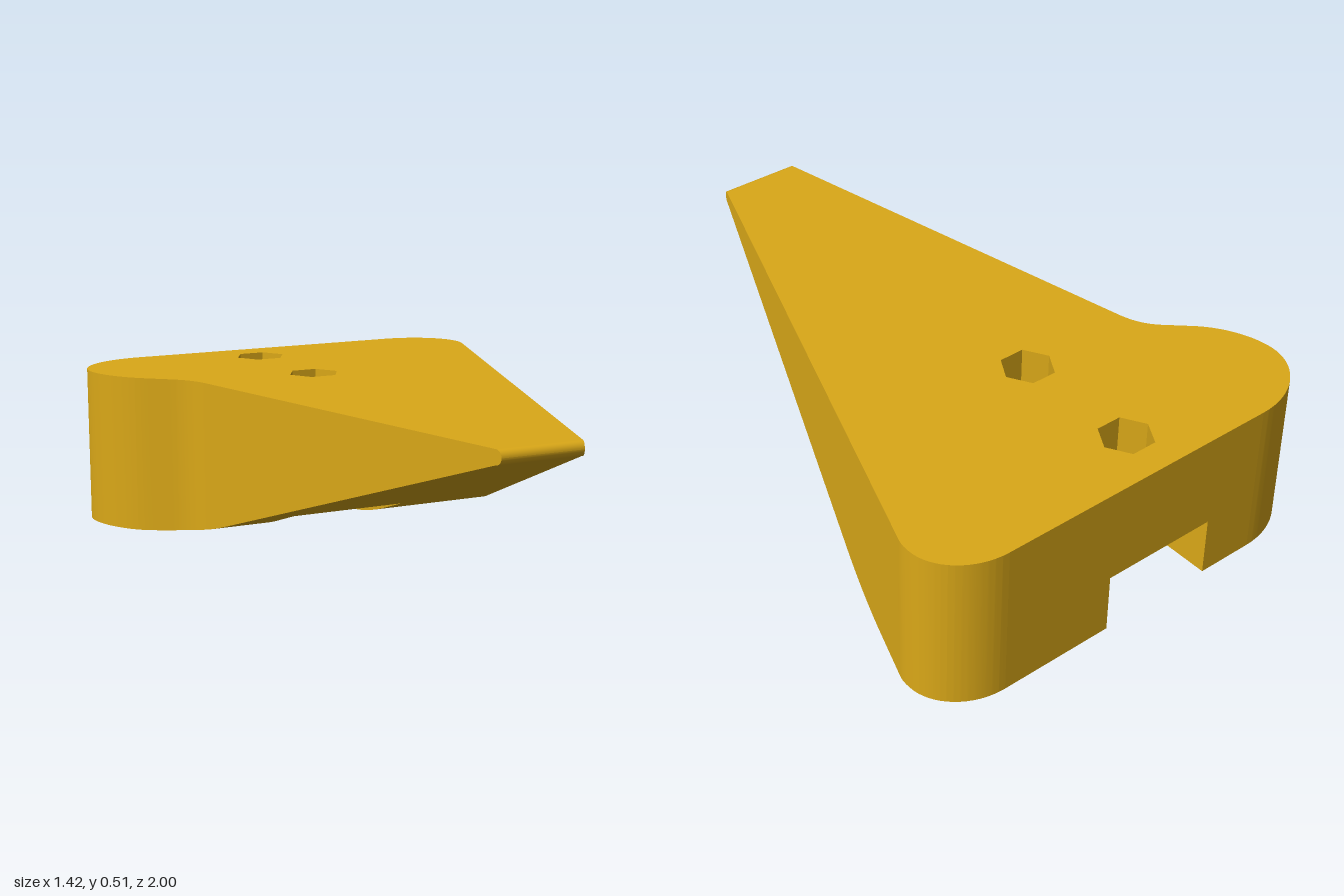
import * as THREE from 'three';

const TOP = 0.507, CEIL = 0.195;            // top face, slot ceiling
const SLOT = { x0: -0.27, x1: 0.12, end: -0.16 };
const NOSE = { z: 0.978, y: 0.485, r: 0.022 };
const HOLES = [-0.83, -0.405], HOLE_X = -0.077, NUT_R = 0.085, BOLT_R = 0.047, NUT_FLOOR = 0.385;

// Underside height: flat, blended into a ramp, then the rounded nose
function under(z) {
  if (z < -0.61) return 0;
  if (z < -0.29) return 0.324 * (z + 0.61) ** 2 / 0.64;
  if (z <= NOSE.z) return 0.146 + 0.324 * z;
  return NOSE.y - noseHalf(z);
}
const noseHalf = z => Math.sqrt(Math.max(0, NOSE.r ** 2 - (z - NOSE.z) ** 2));
const over = z => (z <= NOSE.z ? TOP : NOSE.y + noseHalf(z));

// Side outlines in (x, z), from back to nose
const left = new THREE.Path().moveTo(-0.46, -1)
  .bezierCurveTo(-0.6, -1, -0.714, -0.9, -0.714, -0.79)
  .bezierCurveTo(-0.714, -0.72, -0.68, -0.63, -0.61, -0.565)
  .lineTo(-0.55, -0.51)
  .bezierCurveTo(-0.51, -0.475, -0.485, -0.44, -0.472, -0.37)
  .lineTo(-0.209, 1).getPoints(16);
const right = new THREE.Path().moveTo(0.505, -1)
  .bezierCurveTo(0.62, -1, 0.71, -0.92, 0.71, -0.83)
  .bezierCurveTo(0.71, -0.81, 0.71, -0.795, 0.7, -0.77)
  .lineTo(0.055, 1).getPoints(16);

function xAt(pts, z) {
  let i = 1;
  while (i < pts.length - 1 && pts[i].y < z) i++;
  const a = pts[i - 1], b = pts[i];
  return a.x + (b.x - a.x) * (z - a.y) / (b.y - a.y);
}

// Strip between two point rows; front is (along the row) x (a to b)
function ribbon(rows, a, b) {
  const pos = [], idx = [];
  rows.forEach((z, i) => {
    pos.push(...a(z), z, ...b(z), z);
    const k = 2 * i;
    if (i < rows.length - 1) idx.push(k, k + 2, k + 1, k + 1, k + 2, k + 3);
  });
  const g = new THREE.BufferGeometry();
  g.setAttribute('position', new THREE.Float32BufferAttribute(pos, 3));
  g.setIndex(idx);
  g.computeVertexNormals();
  return g;
}

function ringPath(r, n, x, y) {
  const pts = [];
  for (let i = 0; i < n; i++) {
    const t = i / n * Math.PI * 2;
    pts.push(new THREE.Vector2(x + r * Math.cos(t), y + r * Math.sin(t)));
  }
  return pts;
}

export function createModel() {
  const model = new THREE.Group();
  model.name = 'taperedBracket';
  const color = 0xdaa818;
  const mat = new THREE.MeshStandardMaterial({ color });
  const inner = new THREE.MeshStandardMaterial({ color, side: THREE.BackSide });
  const innerFlat = new THREE.MeshStandardMaterial({ color, side: THREE.BackSide, flatShading: true });
  const add = (name, geo, m = mat) => {
    const mesh = new THREE.Mesh(geo, m);
    mesh.name = name;
    model.add(mesh);
    return mesh;
  };

  // Shared z rows through the outline, the underside blend and the nose
  const zs = [...left, ...right].map(p => p.y);
  for (let i = 0; i <= 16; i++) zs.push(-0.61 + 0.32 * i / 16);
  for (let i = 0; i <= 10; i++) zs.push(NOSE.z + NOSE.r * Math.sin(i / 10 * Math.PI / 2));
  zs.push(SLOT.end);
  const rows = zs.sort((a, b) => a - b).filter((z, i) => i === 0 || z - zs[i - 1] > 1e-6);
  const slotRows = rows.filter(z => z <= SLOT.end);
  const rampRows = rows.filter(z => z >= SLOT.end);
  const noseRows = rows.filter(z => z >= NOSE.z - 1e-9);
  const L = z => xAt(left, z), R = z => xAt(right, z);

  // Side walls
  add('leftWall', ribbon(rows, z => [R(z), over(z)], z => [R(z), under(z)]));
  add('rightWall', ribbon(rows, z => [L(z), under(z)], z => [L(z), over(z)]));

  // Underside: a rail on each side of the slot, then the full-width ramp
  add('leftRail', ribbon(slotRows, z => [R(z), under(z)], z => [SLOT.x1, under(z)]));
  add('rightRail', ribbon(slotRows, z => [SLOT.x0, under(z)], z => [L(z), under(z)]));
  add('ramp', ribbon(rampRows, z => [R(z), under(z)], z => [L(z), under(z)]));
  add('noseTop', ribbon(noseRows, z => [L(z), over(z)], z => [R(z), over(z)]));

  // Slot walls, end and ceiling
  add('slotRightWall', ribbon(slotRows, z => [SLOT.x0, CEIL], z => [SLOT.x0, under(z)]));
  add('slotLeftWall', ribbon(slotRows, z => [SLOT.x1, under(z)], z => [SLOT.x1, CEIL]));
  const endY = under(SLOT.end), midX = (SLOT.x0 + SLOT.x1) / 2, width = SLOT.x1 - SLOT.x0;
  add('slotEnd', new THREE.PlaneGeometry(width, CEIL - endY).rotateY(Math.PI))
    .position.set(midX, (CEIL + endY) / 2, SLOT.end);
  const ceiling = new THREE.Shape([[SLOT.x0, -1], [SLOT.x1, -1], [SLOT.x1, SLOT.end], [SLOT.x0, SLOT.end]]
    .map(p => new THREE.Vector2(...p)));
  HOLES.forEach(z => ceiling.holes.push(new THREE.Path(ringPath(BOLT_R, 32, HOLE_X, z))));
  add('slotCeiling', new THREE.ShapeGeometry(ceiling).rotateX(Math.PI / 2)).position.y = CEIL;

  // Top face with hexagonal openings
  const clip = (pts, x) => [...pts.slice(0, -1), new THREE.Vector2(x(NOSE.z), NOSE.z)];
  const outline = [...clip(left, L), ...clip(right, R).reverse()].map(p => new THREE.Vector2(p.x, -p.y));
  const top = new THREE.Shape(outline);
  HOLES.forEach(z => top.holes.push(new THREE.Path(ringPath(NUT_R, 6, HOLE_X, -z))));
  add('topFace', new THREE.ShapeGeometry(top).rotateX(-Math.PI / 2)).position.y = TOP;

  // Back wall, notched by the slot
  const back = new THREE.Shape([
    [-0.46, 0], [SLOT.x0, 0], [SLOT.x0, CEIL], [SLOT.x1, CEIL],
    [SLOT.x1, 0], [0.505, 0], [0.505, TOP], [-0.46, TOP],
  ].map(([x, y]) => new THREE.Vector2(-x, y)));
  add('backWall', new THREE.ShapeGeometry(back).rotateY(Math.PI)).position.z = -1;

  // Nut pockets and bolt holes
  HOLES.forEach(z => {
    const depth = TOP - NUT_FLOOR, drop = NUT_FLOOR - CEIL;
    add('nutPocket', new THREE.CylinderGeometry(NUT_R, NUT_R, depth, 6, 1, true).rotateY(Math.PI / 2), innerFlat)
      .position.set(HOLE_X, NUT_FLOOR + depth / 2, z);
    const seat = new THREE.Shape(ringPath(NUT_R, 6, 0, 0));
    seat.holes.push(new THREE.Path(ringPath(BOLT_R, 32, 0, 0)));
    add('nutSeat', new THREE.ShapeGeometry(seat).rotateX(-Math.PI / 2)).position.set(HOLE_X, NUT_FLOOR, z);
    add('boltHole', new THREE.CylinderGeometry(BOLT_R, BOLT_R, drop, 32, 1, true), inner)
      .position.set(HOLE_X, CEIL + drop / 2, z);
  });
  return model;
}
